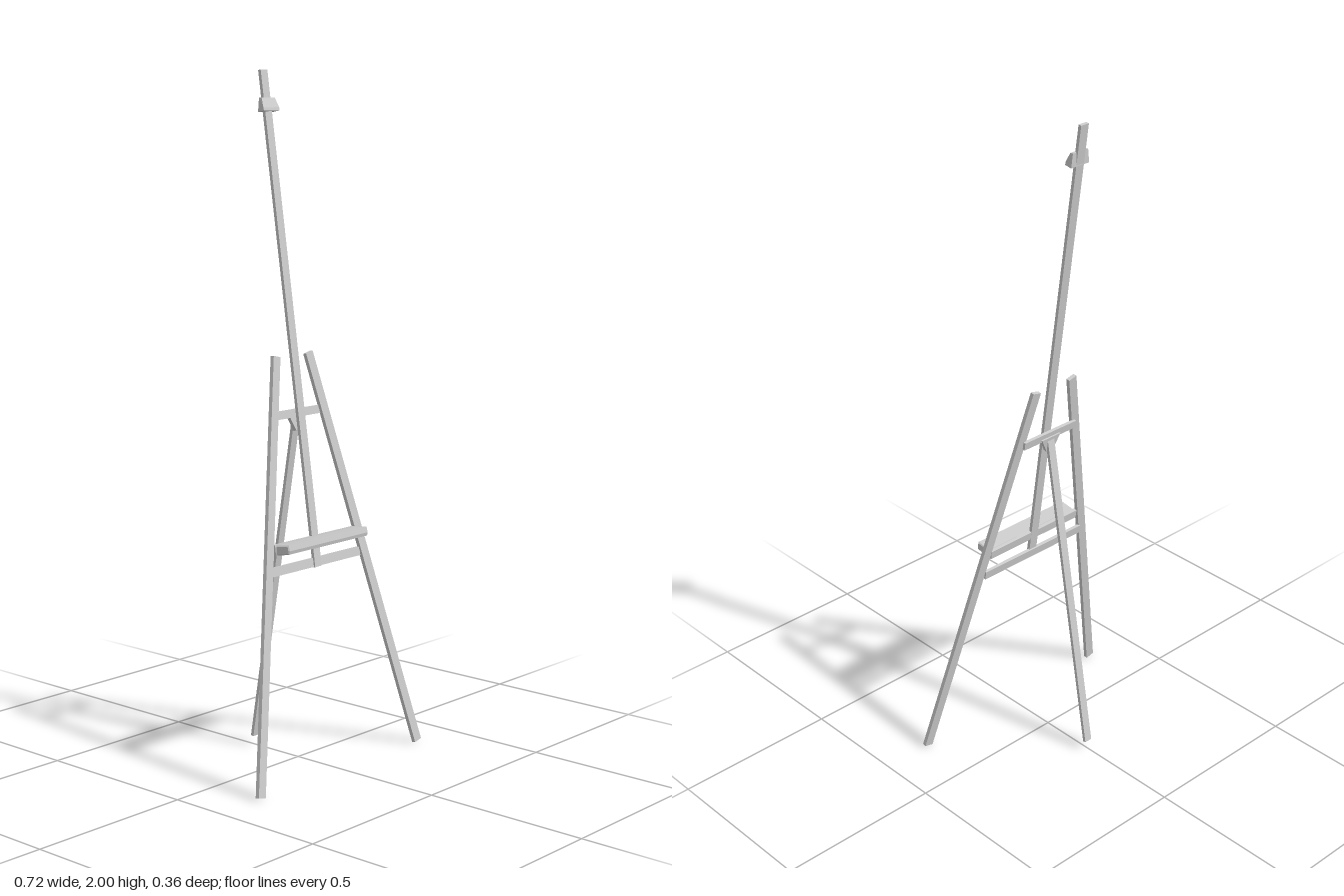
import * as THREE from 'three';

const material = new THREE.MeshStandardMaterial({ color: 0xcccccc, flatShading: true });
const v = (x, y, z) => new THREE.Vector3(x, y, z);

export function createModel() {
  const group = new THREE.Group();
  const add = (name, geometry) => {
    const mesh = new THREE.Mesh(geometry, material);
    mesh.name = name;
    group.add(mesh);
    return mesh;
  };

  // Flat board from a to b, its broad face turned towards the front
  const board = (name, a, b, width, thickness) => {
    const along = b.clone().sub(a);
    const mesh = add(name, new THREE.BoxGeometry(width, along.length(), thickness));
    const yAxis = along.normalize();
    const xAxis = yAxis.clone().cross(v(0, 0, 1)).normalize();
    const zAxis = xAxis.clone().cross(yAxis);
    mesh.quaternion.setFromRotationMatrix(new THREE.Matrix4().makeBasis(xAxis, yAxis, zAxis));
    mesh.position.copy(a).add(b).multiplyScalar(0.5);
    return mesh;
  };

  // Cross-section given as [z, y] points, drawn out along x
  const rail = (name, points, length, bevel = 0) => {
    const shape = new THREE.Shape(points.map(([z, y]) => new THREE.Vector2(-z, y)));
    const geometry = new THREE.ExtrudeGeometry(shape, {
      depth: length - 2 * bevel, bevelEnabled: bevel > 0, bevelSize: bevel,
      bevelThickness: bevel, bevelOffset: -bevel, bevelSegments: 1,
    });
    geometry.translate(0, 0, bevel - length / 2).rotateY(Math.PI / 2);
    // Profile's -z ends up facing -x; rotation maps shape x to model -z
    return add(name, geometry);
  };

  // Splayed front legs
  for (const [side, name] of [[1, 'leftLeg'], [-1, 'rightLeg']]) {
    board(name, v(side * 0.345, 0.005, 0.171), v(side * 0.069, 1.194, -0.024), 0.029, 0.012);
  }

  // Central mast and rear prop
  board('mast', v(0, 0.587, 0.074), v(0, 1.998, -0.135), 0.028, 0.01);
  board('rearLeg', v(0, 0.03, -0.174), v(0, 1.02, -0.007), 0.025, 0.01);

  // Crossbars, tilted with the front legs
  const tilt = -0.16;
  const crossbar = (name, y, z, length, height) => {
    const bar = add(name, new THREE.BoxGeometry(length, height, 0.01));
    bar.position.set(0, y, z);
    bar.rotation.x = tilt;
  };
  crossbar('upperCrossbar', 1.027, -0.006, 0.2, 0.024);
  crossbar('lowerCrossbar', 0.6, 0.067, 0.385, 0.026);

  // Tapered hinge block under the upper crossbar
  const hinge = new THREE.Shape([
    new THREE.Vector2(-0.036, 0.018), new THREE.Vector2(-0.012, -0.03),
    new THREE.Vector2(0.012, -0.03), new THREE.Vector2(0.036, 0.018),
  ]);
  const hingeBlock = add('hingeBlock',
    new THREE.ExtrudeGeometry(hinge, { depth: 0.012, bevelEnabled: false }));
  hingeBlock.position.set(0, 1.005, -0.012);
  hingeBlock.rotation.x = tilt;

  // Canvas tray with a thin back strip
  rail('tray', [[0.07, 0.65], [0.078, 0.648], [0.119, 0.657], [0.121, 0.667],
    [0.117, 0.683], [0.07, 0.676]], 0.344, 0.003);
  rail('trayBack', [[0.06, 0.65], [0.071, 0.65], [0.067, 0.678], [0.056, 0.676]], 0.344);

  // Wedge-shaped top clamp, narrowing upwards
  const clamp = rail('topClamp', [[-0.123, 1.88], [-0.1, 1.884], [-0.102, 1.893],
    [-0.114, 1.92], [-0.124, 1.92]], 0.066);
  const p = clamp.geometry.attributes.position;
  for (let i = 0; i < p.count; i++) {
    if (p.getY(i) > 1.9) p.setX(i, p.getX(i) * 0.84);
  }
  clamp.geometry.computeVertexNormals();

  return group;
}
